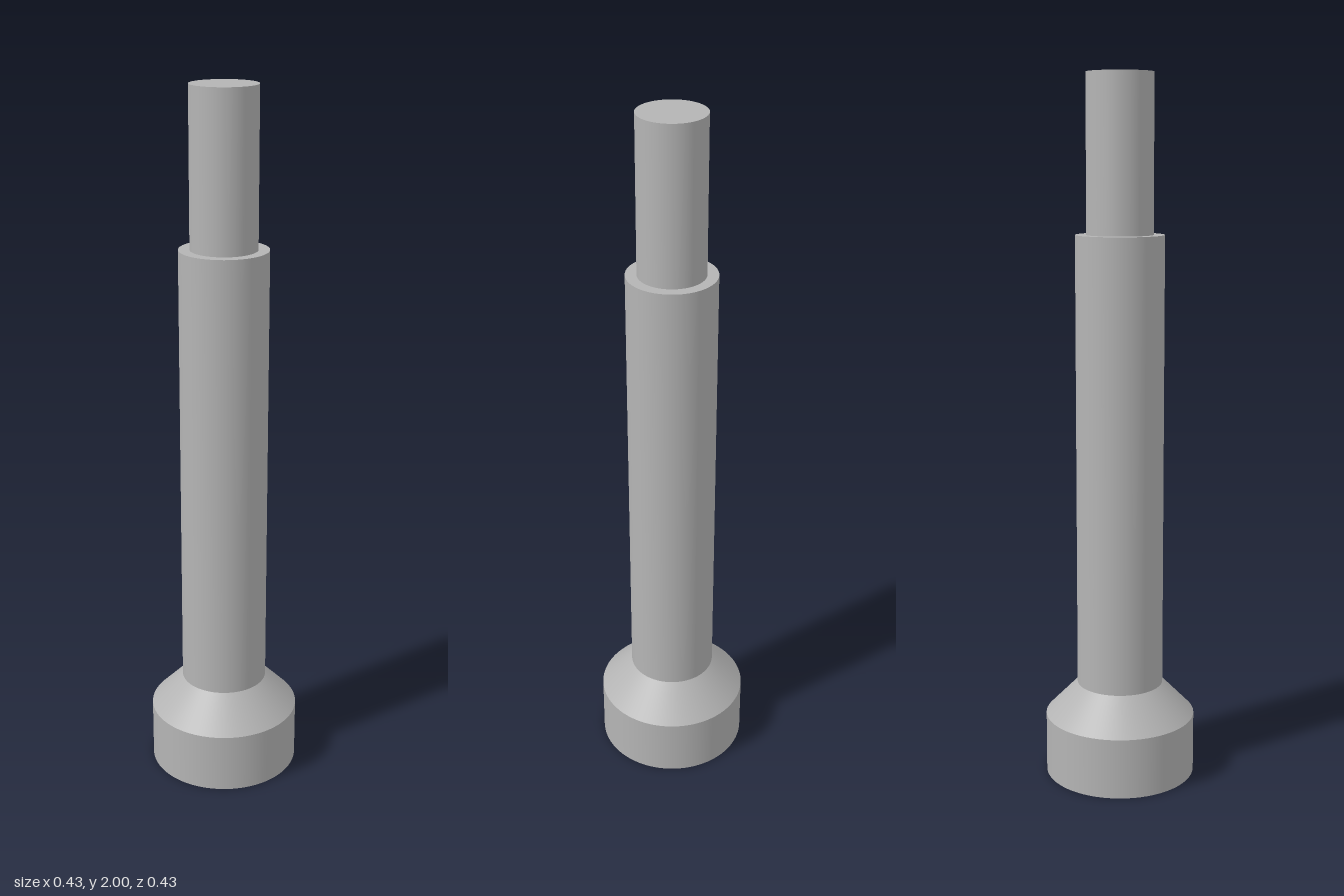
import * as THREE from 'three';

const SEG = 96;
const HEAD_R = 0.216, SHOULDER_R = 0.124, TIP_R = 0.093;
const HEAD_TOP = 0.175, CONE_TOP = 0.27, SHOULDER_TOP = 1.565, TOP = 2;
const SOCKET_R = 0.067, SOCKET_DEPTH = 0.11;

export function createModel() {
  const group = new THREE.Group();
  const steel = new THREE.MeshStandardMaterial({ color: 0xb4b4b4 });
  steel.name = 'steel grey';

  const add = (name, geometry, y = 0) => {
    const mesh = new THREE.Mesh(geometry, steel);
    mesh.name = name;
    mesh.position.y = y;
    group.add(mesh);
  };
  // Open round wall between two heights
  const wall = (name, rBottom, rTop, y0, y1) =>
    add(name, new THREE.CylinderGeometry(rTop, rBottom, y1 - y0, SEG, 1, true), (y0 + y1) / 2);

  wall('headSide', HEAD_R, HEAD_R, 0, HEAD_TOP);
  wall('headCone', HEAD_R, SHOULDER_R, HEAD_TOP, CONE_TOP);
  wall('shoulder', SHOULDER_R, SHOULDER_R, CONE_TOP, SHOULDER_TOP);
  wall('tip', TIP_R, TIP_R, SHOULDER_TOP, TOP);

  // Flat faces looking up
  add('shoulderStep', new THREE.RingGeometry(TIP_R, SHOULDER_R, SEG).rotateX(-Math.PI / 2), SHOULDER_TOP);
  add('tipEnd', new THREE.CircleGeometry(TIP_R, SEG).rotateX(-Math.PI / 2), TOP);

  // Underside of the head with a hexagonal opening
  const disc = new THREE.Shape().absarc(0, 0, HEAD_R, 0, Math.PI * 2, false);
  const corners = Array.from({ length: 6 }, (_, i) => {
    const a = -i * Math.PI / 3;
    return new THREE.Vector2(Math.cos(a) * SOCKET_R, Math.sin(a) * SOCKET_R);
  });
  disc.holes.push(new THREE.Path(corners));
  add('headFace', new THREE.ShapeGeometry(disc, SEG).rotateX(Math.PI / 2));

  // Socket walls mirrored so they face inward, with flat normals
  const hex = new THREE.CylinderGeometry(SOCKET_R, SOCKET_R, SOCKET_DEPTH, 6, 1, true, Math.PI / 2)
    .toNonIndexed().scale(-1, 1, 1);
  const p = hex.attributes.position;
  const a = new THREE.Vector3(), b = new THREE.Vector3();
  for (let i = 0; i < p.count; i += 3) { // restore winding after the mirror
    a.fromBufferAttribute(p, i + 1);
    b.fromBufferAttribute(p, i + 2);
    p.setXYZ(i + 1, a.x, a.y, a.z);
    p.setXYZ(i + 2, b.x, b.y, b.z);
  }
  hex.computeVertexNormals();
  add('socketWalls', hex, SOCKET_DEPTH / 2);
  add('socketFloor', new THREE.CircleGeometry(SOCKET_R, 6).rotateX(Math.PI / 2), SOCKET_DEPTH);

  return group;
}
